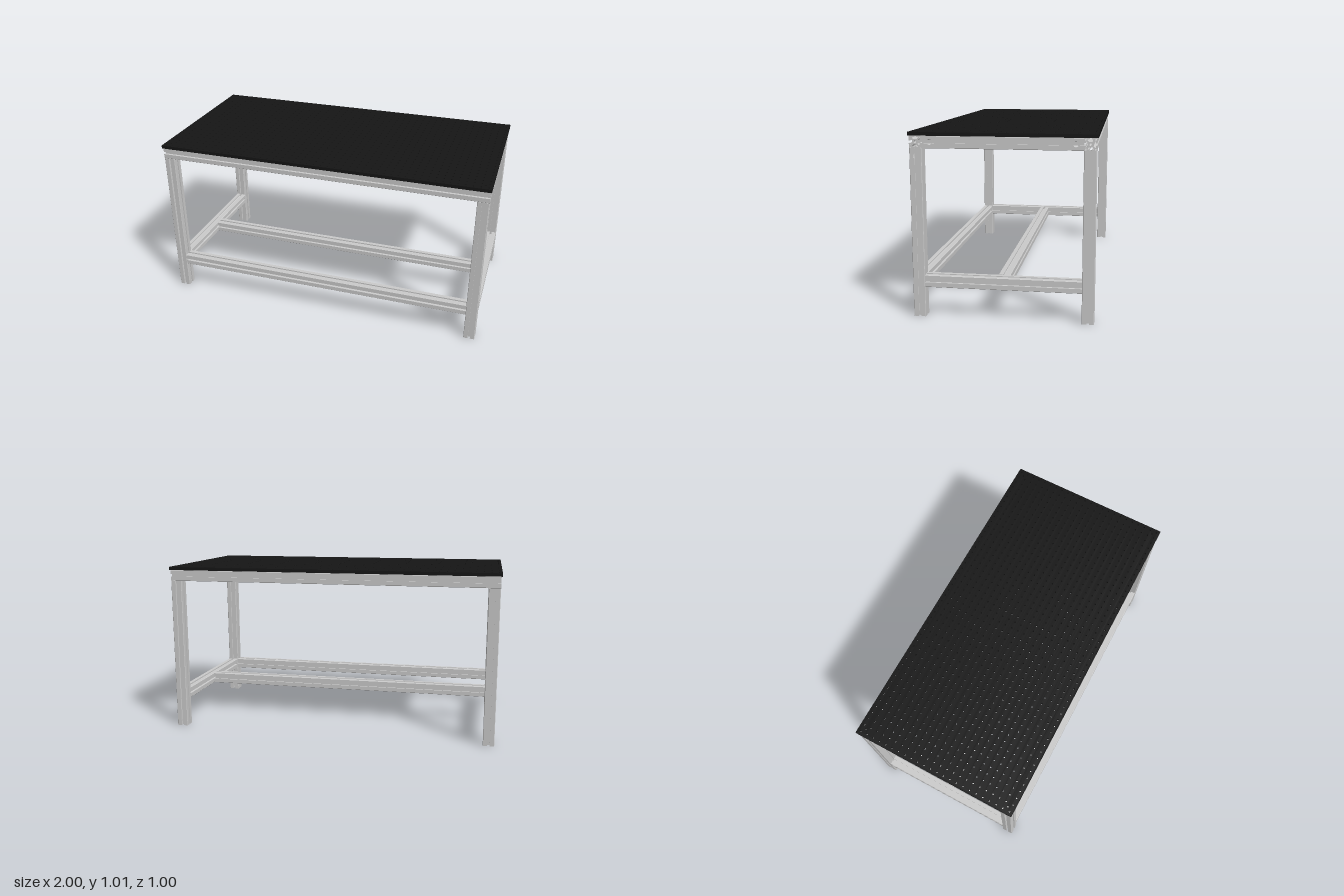
import * as THREE from 'three';
import { mergeGeometries } from 'three/addons/utils/BufferGeometryUtils.js';

const MM = 2 / 1200; // the table is 1200 mm long
const SIZE = 40 * MM; // side of the slotted profile
const LEG = 0.928;
const LEG_X = 0.96, LEG_Z = 0.46;
const INNER_X = LEG_X - SIZE / 2, INNER_Z = LEG_Z - SIZE / 2;

const metal = new THREE.MeshStandardMaterial({ color: 0xcccccc });
const black = new THREE.MeshStandardMaterial({ color: 0x151515 });

function circlePath(x, y, r, n) {
  const pts = [];
  for (let i = 0; i < n; i++) {
    const a = -(i / n) * Math.PI * 2;
    pts.push(new THREE.Vector2(x + r * Math.cos(a), y + r * Math.sin(a)));
  }
  return new THREE.Path(pts);
}

// T-slot cross-section; `mouth` is the half width of the slot on the +x side
function profile(mouth = 4.1) {
  const pts = [];
  for (let q = 0; q < 4; q++) {
    const s = q === 0 ? mouth : 4.1;
    const half = [[20, s], [15.5, s], [15.5, 10], [13.5, 10], [8.5, 5.5]];
    const side = [
      [20, -18.5],
      ...half.map(([x, y]) => [x, -y]),
      ...half.slice().reverse(),
      [20, 18.5],
    ];
    const turn = (q * Math.PI) / 2;
    for (const [x, y] of side) {
      pts.push(new THREE.Vector2(x * MM, y * MM).rotateAround(new THREE.Vector2(), turn));
    }
  }
  const shape = new THREE.Shape(pts);
  shape.holes.push(circlePath(0, 0, 4 * MM, 12));
  for (const sx of [-1, 1]) for (const sy of [-1, 1]) {
    const c = 15.4 * MM;
    const r = 2.6 * MM;
    shape.holes.push(new THREE.Path([[-r, -r], [-r, r], [r, r], [r, -r]]
      .map(([x, y]) => new THREE.Vector2(sx * c + x, sy * c + y))));
  }
  return shape;
}

// Bar along local z, with round connector openings in the +x slot at the given z
function barGeometry(length, openings = []) {
  const parts = [];
  const addSlice = (from, to, mouth) => {
    const g = new THREE.ExtrudeGeometry(profile(mouth), { depth: to - from, bevelEnabled: false });
    parts.push(g.translate(0, 0, from));
  };
  const R = 9;
  const reach = Math.sqrt(R * R - 4.1 * 4.1);
  const steps = 7;
  let z = -length / 2;
  for (const o of openings) {
    addSlice(z, o - reach * MM);
    for (let i = 0; i < steps; i++) {
      const a = -reach + (2 * reach * i) / steps;
      const b = -reach + (2 * reach * (i + 1)) / steps;
      const mid = (a + b) / 2;
      addSlice(o + a * MM, o + b * MM, Math.sqrt(R * R - mid * mid));
    }
    z = o + reach * MM;
  }
  addSlice(z, length / 2);
  return mergeGeometries(parts);
}

export function createModel() {
  const group = new THREE.Group();
  const add = (name, geometry, material, x, y, z) => {
    const mesh = new THREE.Mesh(geometry, material);
    mesh.name = name;
    mesh.position.set(x, y, z);
    group.add(mesh);
    return mesh;
  };

  const topY = LEG + SIZE / 2;
  const lowY = 0.202;

  // Legs, two of them with a connector opening near the top
  const plainLeg = barGeometry(LEG).rotateX(-Math.PI / 2);
  const boredLeg = barGeometry(LEG, [LEG / 2 - 0.042]).rotateX(-Math.PI / 2);
  for (const sx of [-1, 1]) for (const sz of [-1, 1]) {
    const name = (sz > 0 ? 'front' : 'back') + (sx > 0 ? 'Left' : 'Right') + 'Leg';
    const leg = add(name, sx === sz ? boredLeg : plainLeg, metal, sx * LEG_X, LEG / 2, sz * LEG_Z);
    if (sx < 0) leg.rotation.y = Math.PI;
  }

  // Long top rails run over the legs
  const longRail = barGeometry(1.988).rotateY(Math.PI / 2);
  add('frontTopRail', longRail, metal, 0, topY, LEG_Z);
  add('backTopRail', longRail, metal, 0, topY, -LEG_Z);

  // Side rails and low side stretchers fit between front and back
  const sideRail = barGeometry(2 * INNER_Z, [-0.385, 0.385]);
  const sideStretcher = barGeometry(2 * INNER_Z);
  for (const sx of [-1, 1]) {
    const side = sx > 0 ? 'left' : 'right';
    const rail = add(side + 'TopRail', sideRail, metal, sx * LEG_X, topY, 0);
    if (sx < 0) rail.rotation.y = Math.PI;
    add(side + 'Stretcher', sideStretcher, metal, sx * LEG_X, lowY, 0);
  }

  // Long low stretchers: one between the front legs, one in the middle
  const longStretcher = barGeometry(2 * INNER_X).rotateY(Math.PI / 2);
  add('frontStretcher', longStretcher, metal, 0, lowY, LEG_Z);
  add('middleStretcher', longStretcher, metal, 0, lowY, 0);

  // Perforated table top: a 25 mm hole grid plus a bolt hole at each corner
  const plate = new THREE.Shape([[-1, -0.5], [1, -0.5], [1, 0.5], [-1, 0.5]]
    .map(([x, y]) => new THREE.Vector2(x, y)));
  const pitch = 25 * MM;
  for (let i = 0; i < 48; i++) for (let j = 0; j < 24; j++) {
    plate.holes.push(circlePath((i - 23.5) * pitch, (j - 11.5) * pitch, 3 * MM, 8));
  }
  for (const sx of [-1, 1]) for (const sz of [-1, 1]) {
    plate.holes.push(circlePath(sx * 23 * pitch, sz * 11 * pitch, 3 * MM, 8));
  }
  const top = new THREE.ExtrudeGeometry(plate, { depth: 0.019, bevelEnabled: false });
  add('tableTop', top.rotateX(-Math.PI / 2), black, 0, LEG + SIZE, 0);

  return group;
}
